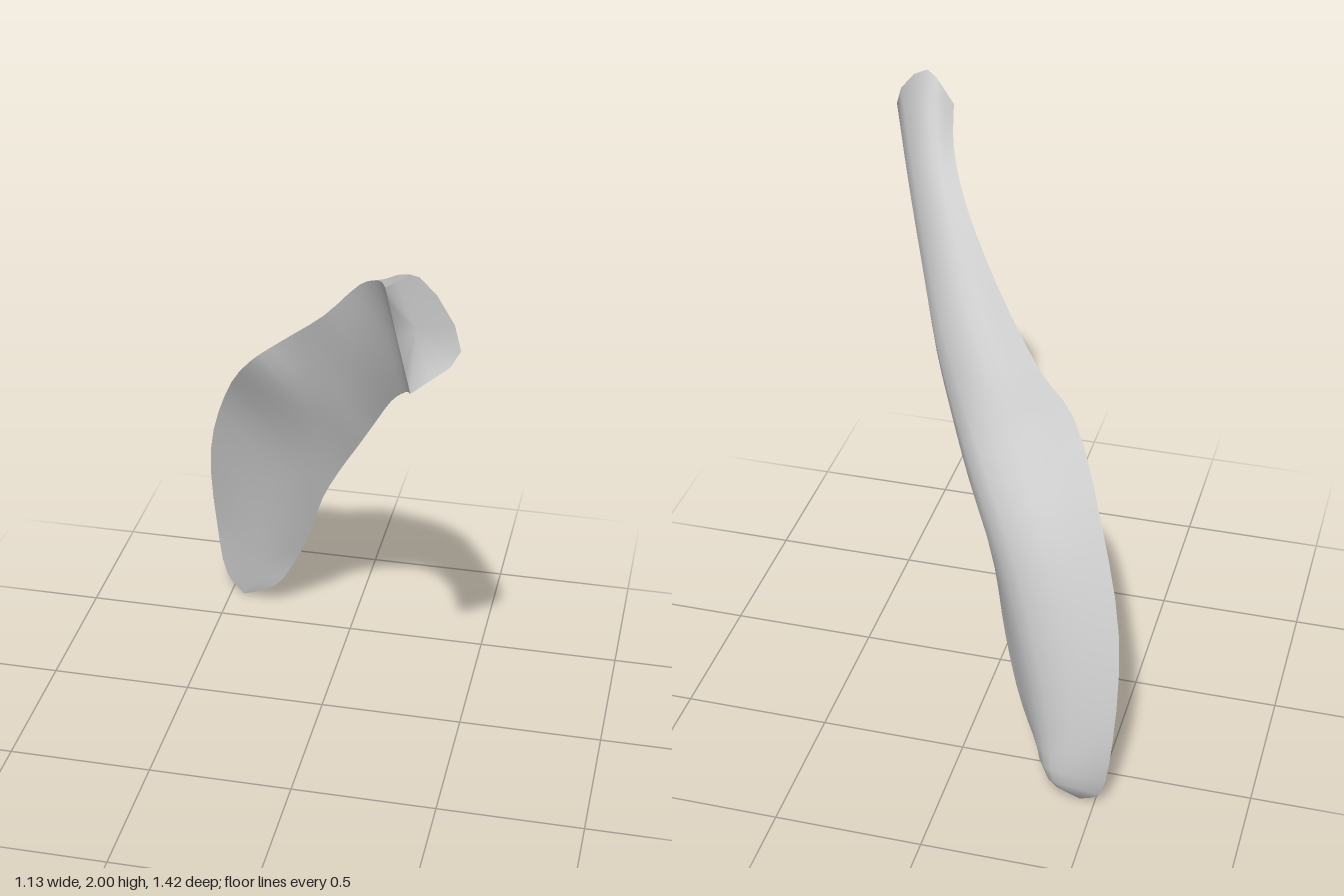
import * as THREE from 'three';

// The arm lies in an upright plane turned 35 degrees from the front.
// Points are given as [along, sideways, height] in that plane.
const TURN = THREE.MathUtils.degToRad(35);
const toWorld = ([s, u, y]) => new THREE.Vector3(
  s * Math.sin(TURN) + u * Math.cos(TURN), y, s * Math.cos(TURN) - u * Math.sin(TURN));

const tip = [-0.79, 0.005, 0];
const rail = (points) => new THREE.CatmullRomCurve3([...points, tip].map(toWorld));

// Rails running from the thick upper end down to the tip
const innerEdge = rail([[0.81, -0.06, 1.67], [0.52, 0.06, 1.51], [0.3, 0.115, 1.36], [0.1, 0.147, 1.17], [-0.05, 0.15, 1.0],
  [-0.17, 0.147, 0.86], [-0.315, 0.135, 0.66], [-0.43, 0.138, 0.46], [-0.56, 0.124, 0.25], [-0.653, 0.08, 0.1]]);
const sideBulge = rail([[0.886, 0.063, 1.82], [0.5, 0.15, 1.72], [0.28, 0.182, 1.55], [0.05, 0.21, 1.36], [-0.13, 0.213, 1.2],
  [-0.3, 0.21, 1.06], [-0.5, 0.185, 0.85], [-0.64, 0.155, 0.58], [-0.73, 0.125, 0.27], [-0.77, 0.11, 0.1]]);
const ridge = rail([[0.73, 0, 2.0], [0.43, 0.09, 1.86], [0.22, 0.13, 1.7], [0, 0.13, 1.53], [-0.21, 0.12, 1.36],
  [-0.36, 0.09, 1.19], [-0.6, 0.08, 0.95], [-0.74, 0.06, 0.65], [-0.82, 0.06, 0.3], [-0.83, 0.055, 0.1]]);
const flareEdge = rail([[0.6, -0.05, 1.92], [0.414, 0.015, 1.85], [0.2, 0.045, 1.74], [-0.016, 0.012, 1.54], [-0.25, -0.045, 1.35],
  [-0.37, -0.115, 1.23], [-0.62, -0.116, 0.98], [-0.8, -0.112, 0.66], [-0.88, -0.068, 0.3], [-0.855, -0.036, 0.06]]);
const hollow = rail([[0.6, -0.01, 1.75], [0.45, 0.05, 1.68], [0.25, 0.075, 1.54], [0.03, 0.08, 1.34], [-0.14, 0.06, 1.17],
  [-0.27, 0.05, 1.02], [-0.45, 0.04, 0.79], [-0.58, 0.03, 0.54], [-0.69, 0.02, 0.26], [-0.74, 0.02, 0.08]]);

const STATIONS = 30;

// Cross-section line through the given rails at position t
function sectionLine(rails, t, steps) {
  return new THREE.CatmullRomCurve3(rails.map((r) => r.getPoint(t))).getPoints(steps);
}

function buildGeometry(points, index) {
  const geometry = new THREE.BufferGeometry().setFromPoints(points);
  geometry.setIndex(index);
  geometry.computeVertexNormals();
  return geometry;
}

// Smooth skin stretched over the rails
function skin(rails, steps) {
  const points = [], index = [];
  for (let i = 0; i <= STATIONS; i++) points.push(...sectionLine(rails, i / STATIONS, steps));
  const row = steps + 1;
  for (let i = 0; i < STATIONS; i++) {
    for (let j = 0; j < steps; j++) {
      const a = i * row + j, b = a + row;
      index.push(a, b, a + 1);
      if (i < STATIONS - 1) index.push(b, b + 1, a + 1);
    }
  }
  return buildGeometry(points, index);
}

// Dished face closing the upper end
function endFace(outerRails, innerRails) {
  const rim = [...sectionLine(outerRails, 0, 9).slice(0, -1), ...sectionLine(innerRails, 0, 6).slice(0, -1)];
  const centre = rim.reduce((sum, p) => sum.add(p), new THREE.Vector3()).divideScalar(rim.length);
  const index = rim.flatMap((_, j) => [0, j + 1, ((j + 1) % rim.length) + 1]);
  return buildGeometry([centre, ...rim], index);
}

export function createModel() {
  const group = new THREE.Group();
  group.name = 'curvedArm';
  const material = new THREE.MeshStandardMaterial({ color: 0xcccccc, side: THREE.DoubleSide });
  const add = (name, geometry) => {
    const mesh = new THREE.Mesh(geometry, material);
    mesh.name = name;
    group.add(mesh);
  };
  const outer = [innerEdge, sideBulge, ridge, flareEdge];
  const inner = [flareEdge, hollow, innerEdge];
  add('outerSkin', skin(outer, 9));
  add('hollowInnerFace', skin(inner, 6));
  add('upperEndFace', endFace(outer, inner));
  return group;
}
